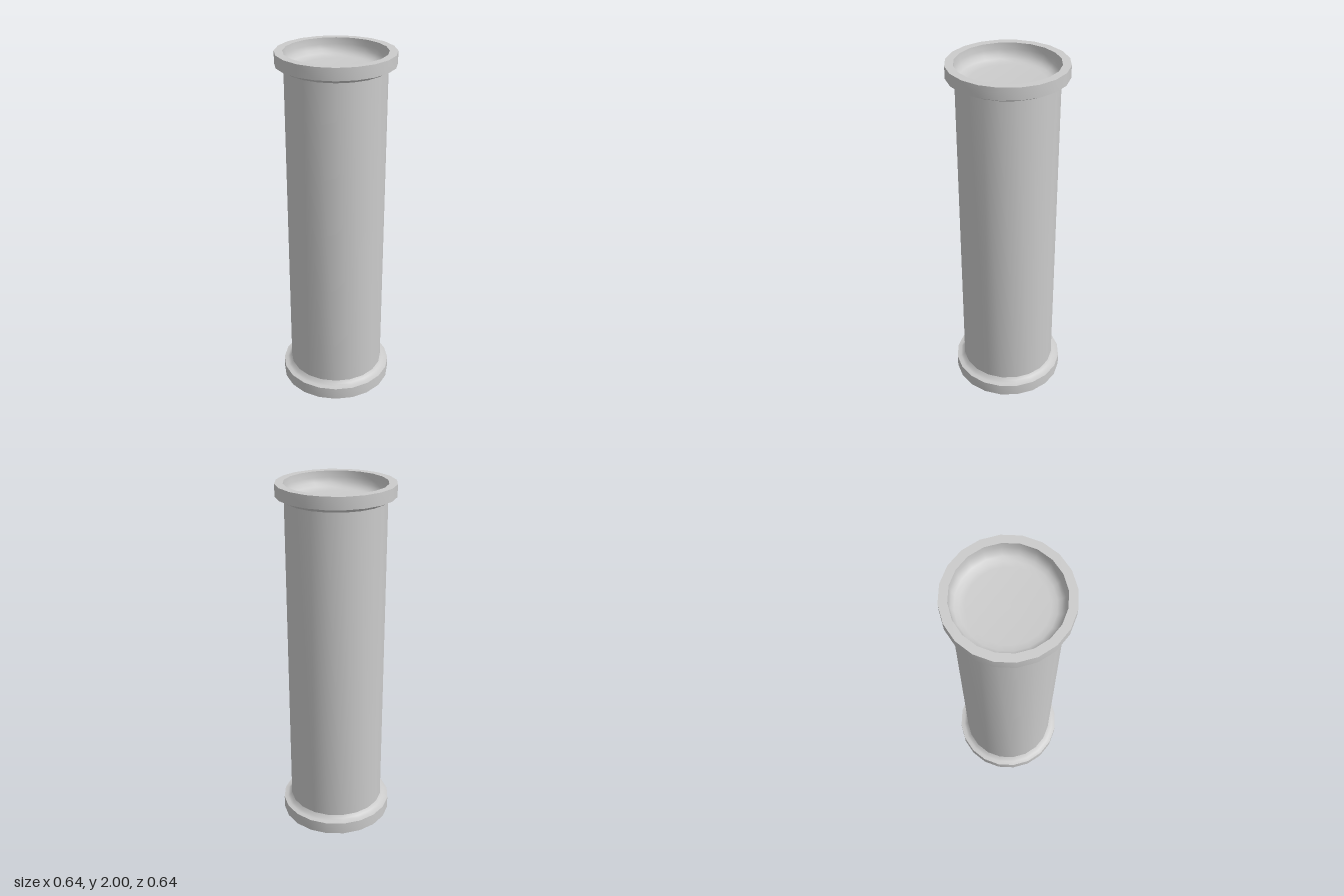
import * as THREE from 'three';
import { toCreasedNormals } from 'three/addons/utils/BufferGeometryUtils.js';

const SIDES = 20;
const SHAFT_R = 0.273;
const FLANGE_R = 0.32;

export function createModel() {
  const group = new THREE.Group();
  const material = new THREE.MeshStandardMaterial({ color: 0xcccccc });

  // Turn a profile (listed from the bottom up along the outside) around the axis
  function turned(name, profile) {
    const points = profile.map(([r, y]) => new THREE.Vector2(r, y));
    const geometry = toCreasedNormals(new THREE.LatheGeometry(points, SIDES), 0.7);
    const mesh = new THREE.Mesh(geometry, material);
    mesh.name = name;
    group.add(mesh);
  }

  // Closed foot with a small cove running into the shaft
  turned('baseFlange', [
    [0, 0], [FLANGE_R, 0], [FLANGE_R, 0.07],
    [0.298, 0.073], [0.284, 0.081], [SHAFT_R, 0.097],
  ]);

  // Plain straight shaft
  turned('shaft', [[SHAFT_R, 0.097], [SHAFT_R, 1.91]]);

  // Top flange: cove, band, flat rim and shallow dished recess
  turned('topFlange', [
    [SHAFT_R, 1.91], [0.284, 1.924], [0.298, 1.931], [FLANGE_R, 1.934],
    [FLANGE_R, 2], [0.276, 2],
    [0.274, 1.965], [0.267, 1.94], [0.252, 1.92], [0.23, 1.91], [0.2, 1.907], [0, 1.907],
  ]);

  return group;
}
